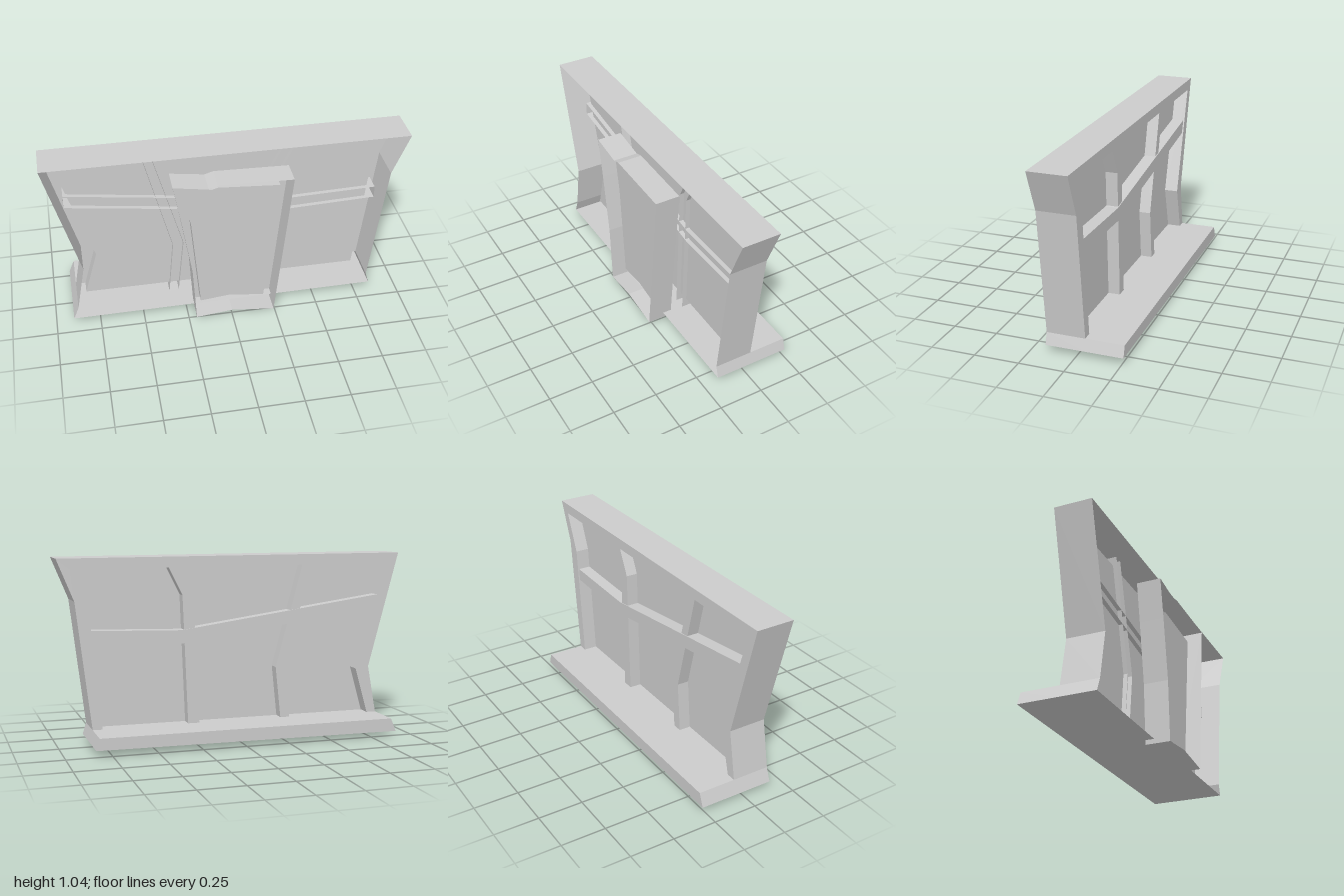
import * as THREE from 'three';

const material = new THREE.MeshStandardMaterial({
  color: 0xcccccc, flatShading: true, side: THREE.DoubleSide,
});

const toVectors = (points) => points.map(([x, y]) => new THREE.Vector2(x, y));

// Band of flat faces along a closed, counter-clockwise outline from zFront to zBack
function bandGeometry(points, zFront, zBack) {
  const positions = [];
  points.forEach(([ax, ay], i) => {
    const [bx, by] = points[(i + 1) % points.length];
    positions.push(ax, ay, zBack, bx, by, zBack, bx, by, zFront);
    positions.push(ax, ay, zBack, bx, by, zFront, ax, ay, zFront);
  });
  const geometry = new THREE.BufferGeometry();
  geometry.setAttribute('position', new THREE.Float32BufferAttribute(positions, 3));
  geometry.computeVertexNormals();
  return geometry;
}

// Flat face at depth z, optionally with a hole
function faceGeometry(points, z, hole) {
  const shape = new THREE.Shape(toVectors(points));
  if (hole) shape.holes.push(new THREE.Path(toVectors(hole)));
  return new THREE.ShapeGeometry(shape).translate(0, 0, z);
}

function add(parent, name, geometry) {
  const mesh = new THREE.Mesh(geometry, material);
  mesh.name = name;
  parent.add(mesh);
}

function addGroup(parent, name) {
  const group = new THREE.Group();
  group.name = name;
  parent.add(group);
  return group;
}

// Bar outline: the two long edges of a strip, as one closed loop
const barOutline = (edgeA, edgeB) => [...edgeA, ...edgeB.slice().reverse()];

export function createModel() {
  const model = new THREE.Group();
  model.name = 'crookedWindow';

  const FRONT = 0.17, BACK = -0.045, PANE = 0.035;

  // Crooked outer frame, open at the front
  const outerTop = [[0.82, 0.105], [0.905, 0.81], [1, 1.042], [-1, 1.046], [-0.82, 0.38], [-0.87, 0.105]];
  const inner = [[0.765, 0.105], [0.83, 0.765], [0.925, 0.985], [-0.93, 0.985], [-0.74, 0.37], [-0.815, 0.105]];
  const sillBase = [[-0.9, 0.03], [0.84, 0.04]];
  const frame = addGroup(model, 'frame');
  add(frame, 'frameOuterWall', bandGeometry([...outerTop, ...sillBase], FRONT, BACK));
  add(frame, 'frameBackRim', faceGeometry([...outerTop, ...inner.slice().reverse()], BACK));
  add(frame, 'frameInnerWall', bandGeometry(inner, PANE, BACK));
  add(frame, 'pane', faceGeometry(inner, PANE));

  // Sill running out behind the frame
  const sillOutline = [...sillBase, [0.82, 0.105], [-0.87, 0.105]];
  const sill = addGroup(model, 'sill');
  add(sill, 'sillWall', bandGeometry(sillOutline, BACK, -0.26));
  add(sill, 'sillEnd', faceGeometry(sillOutline, -0.26));

  // Bent glazing bars, slightly proud of the pane at the front
  const bars = {
    crossBar: barOutline(
      [[-0.89, 0.73], [0.31, 0.56], [0.86, 0.58]],
      [[-0.89, 0.805], [0.31, 0.635], [0.86, 0.65]]),
    leftUpright: barOutline(
      [[0.275, 0.055], [0.305, 0.83], [0.385, 0.99]],
      [[0.21, 0.055], [0.24, 0.83], [0.32, 0.99]]),
    rightUpright: barOutline(
      [[-0.28, 0.06], [-0.245, 0.4], [-0.415, 1.03]],
      [[-0.335, 0.055], [-0.305, 0.39], [-0.465, 1.03]]),
  };
  for (const [name, outline] of Object.entries(bars)) {
    const bar = addGroup(model, name);
    const back = name === 'crossBar' ? -0.037 : -0.032;
    add(bar, name + 'Sides', bandGeometry(outline, 0.06, back));
    add(bar, name + 'Back', faceGeometry(outline, back));
  }

  // Narrow crooked panel standing in front
  const panelOuter = [[-0.205, 0.008], [0, 0.03], [0.245, 0.002], [0.335, 0.9], [-0.08, 0.912],
    [-0.13, 0.897], [-0.32, 0.925], [-0.28, 0.7], [-0.225, 0.35]];
  const panelInner = [[-0.17, 0.068], [0, 0.087], [0.197, 0.058], [0.275, 0.825], [-0.07, 0.85],
    [-0.1, 0.84], [-0.265, 0.87], [-0.217, 0.62]];
  const panel = addGroup(model, 'frontPanel');
  add(panel, 'panelOuterWall', bandGeometry(panelOuter, 0.26, 0.12));
  add(panel, 'panelBackRim', faceGeometry(panelOuter, 0.12, panelInner));
  add(panel, 'panelInnerWall', bandGeometry(panelInner, 0.19, 0.12));
  add(panel, 'panelFace', faceGeometry(panelInner, 0.19));

  return model;
}
